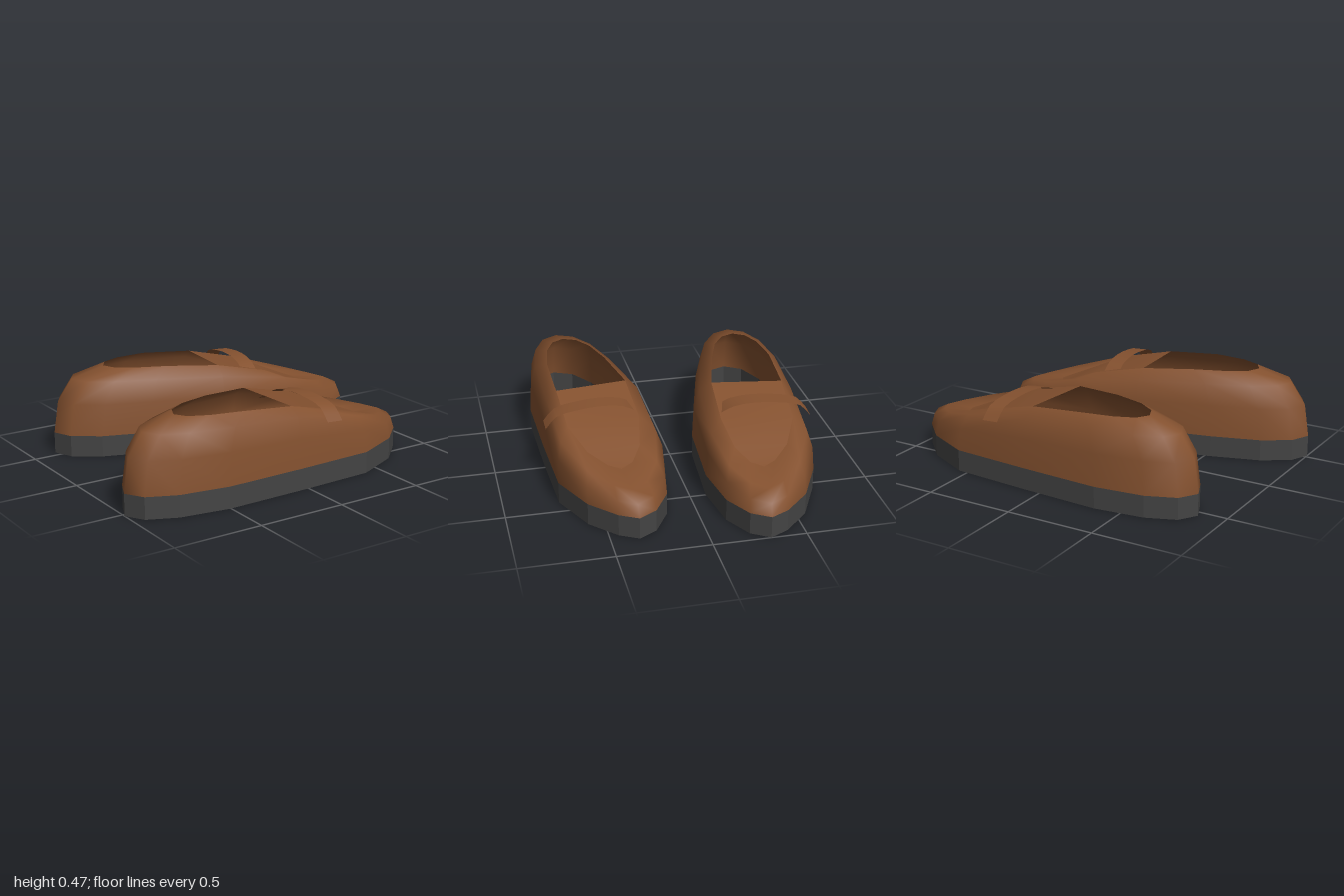
import * as THREE from 'three';

// Footprint of one shoe as [x, z], from heel round the inner side to the toe and back
const OUTLINE = [
  [-1, 0.52], [-0.95, 0.41], [-0.8, 0.315], [-0.53, 0.23], [-0.1, 0.13], [0.365, 0.11],
  [0.645, 0.16], [0.8, 0.25], [0.86, 0.35], [0.805, 0.45], [0.66, 0.585], [0.405, 0.7],
  [-0.05, 0.72], [-0.505, 0.73], [-0.78, 0.69], [-0.94, 0.62],
];
const CENTRE = [-0.07, 0.45];
const SOLE_TOP = 0.12;

// How much of the full upper height is left at x, falling towards the toe
const FALL = [[-1, 1], [-0.6, 1], [-0.1, 0.93], [0.38, 0.72], [0.65, 0.5], [0.8, 0.39], [0.87, 0.35]];
function heightAt(x) {
  const i = Math.max(1, FALL.findIndex((p) => p[0] >= x));
  const [a, b] = [FALL[i - 1], FALL[i]];
  return a[1] + (b[1] - a[1]) * (x - a[0]) / (b[0] - a[0]);
}

// Ring of the upper: footprint scaled about the centre and lifted
function ring(scale, rise) {
  return OUTLINE.map(([x, z]) => [
    CENTRE[0] + (x - CENTRE[0]) * scale,
    SOLE_TOP + rise * heightAt(x),
    CENTRE[1] + (z - CENTRE[1]) * scale,
  ]);
}

// Skin between equal-length rows of points
function loft(rows, closed) {
  const n = rows[0].length;
  const index = [];
  for (let r = 0; r < rows.length - 1; r++) {
    for (let i = 0; i < (closed ? n : n - 1); i++) {
      const j = (i + 1) % n;
      const a = r * n + i, b = r * n + j, c = a + n, d = b + n;
      index.push(a, c, d, a, d, b);
    }
  }
  const geometry = new THREE.BufferGeometry();
  geometry.setAttribute('position', new THREE.Float32BufferAttribute(rows.flat(2), 3));
  geometry.setIndex(index);
  geometry.computeVertexNormals();
  return geometry;
}

function flat(geometry) {
  const g = geometry.toNonIndexed();
  g.computeVertexNormals();
  return g;
}

export function createModel() {
  const leather = new THREE.MeshStandardMaterial({ color: 0x84512f, side: THREE.DoubleSide });
  leather.name = 'brown leather';
  const rubber = new THREE.MeshStandardMaterial({ color: 0x444444, side: THREE.DoubleSide });
  rubber.name = 'dark rubber';

  // Sole: faceted open band
  const soleRows = [0, SOLE_TOP].map((y) => OUTLINE.map(([x, z]) => [x, y, z]));
  const soleGeometry = flat(loft(soleRows, true));

  // Upper: rounded wall drawn in to the foot opening
  const rim = ring(0.67, 0.355);
  const upperGeometry = loft([ring(1, 0), ring(0.97, 0.18), ring(0.88, 0.3), rim], true);

  // Vamp: covers the front half of the opening, pairing inner and outer rim points
  const vampRows = [4, 5, 6, 7, 8].map((i) => [rim[i], rim[16 - i]]);
  const vampGeometry = loft(vampRows.map(([inner, outer]) => [outer, inner]), false);

  // Strap: thin ribbon arched over the vamp
  const arch = new THREE.CatmullRomCurve3([
    [0.157, 0.35, 0.73], [0.153, 0.415, 0.67], [0.148, 0.44, 0.56], [0.14, 0.448, 0.42],
    [0.13, 0.43, 0.3], [0.12, 0.385, 0.22], [0.115, 0.345, 0.155],
  ].map((p) => new THREE.Vector3(...p)));
  const strapRows = arch.getPoints(12).map((p) => [
    [p.x - 0.048, p.y, p.z], [p.x + 0.048, p.y - 0.006, p.z],
  ]);
  const strapGeometry = loft(strapRows.reverse(), false);
  // Face the ribbon upwards
  strapGeometry.setIndex([...strapGeometry.index.array].reverse());
  strapGeometry.computeVertexNormals();
  if (strapGeometry.attributes.normal.getY(12) < 0) {
    strapGeometry.setIndex([...strapGeometry.index.array].reverse());
    strapGeometry.computeVertexNormals();
  }

  function shoe(name) {
    const group = new THREE.Group();
    group.name = name;
    const parts = [
      ['sole', soleGeometry, rubber], ['upper', upperGeometry, leather],
      ['vamp', vampGeometry, leather], ['strap', strapGeometry, leather],
    ];
    for (const [part, geometry, material] of parts) {
      const mesh = new THREE.Mesh(geometry, material);
      mesh.name = part;
      group.add(mesh);
    }
    return group;
  }

  // Pair: the second shoe is mirrored and turned slightly outwards
  const model = new THREE.Group();
  model.name = 'pairOfShoes';
  const backShoe = shoe('backShoe');
  backShoe.scale.z = -1;
  backShoe.rotation.y = -0.035;
  backShoe.position.set(0.127, 0, 0.01);
  model.add(shoe('frontShoe'), backShoe);
  return model;
}
